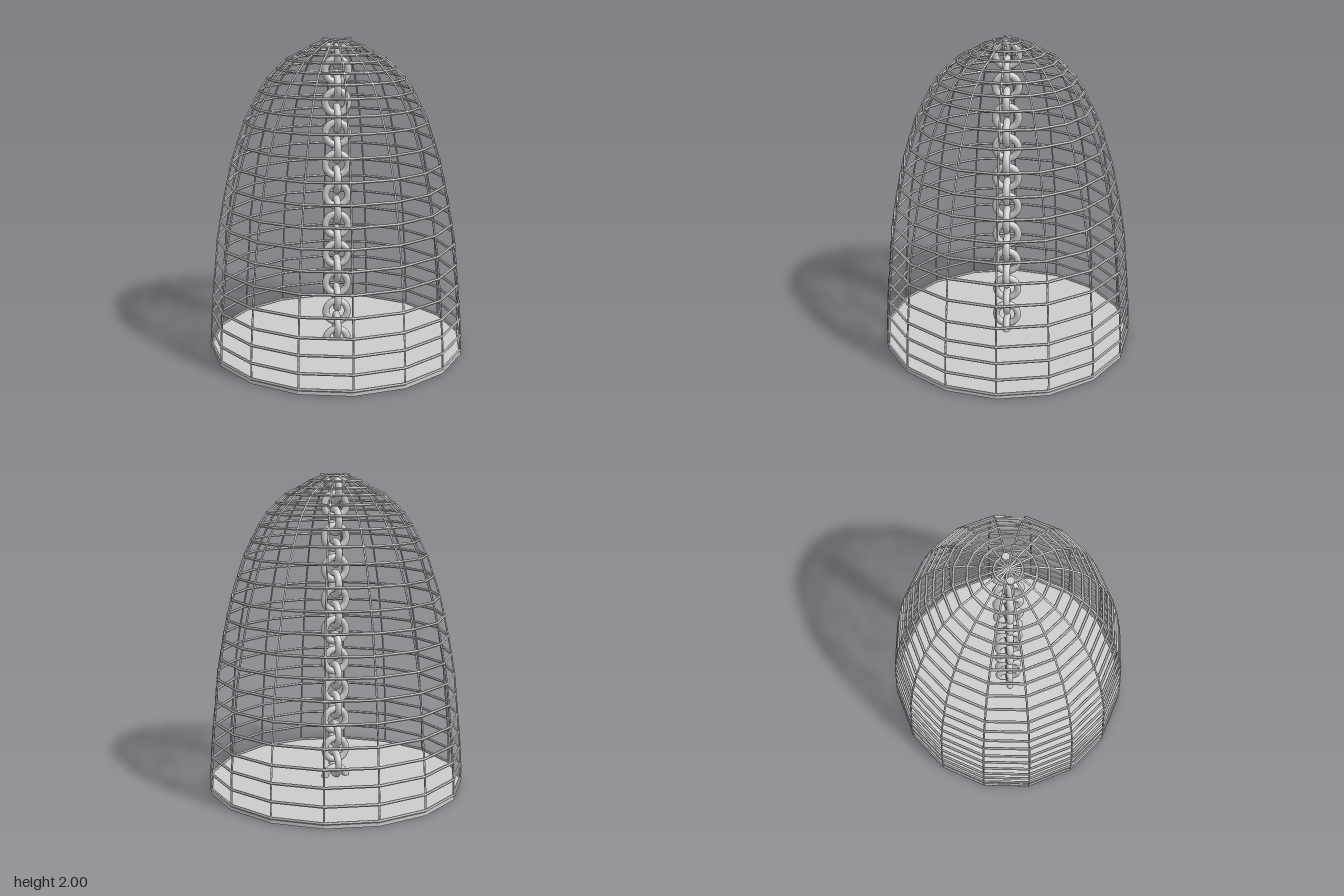
import * as THREE from 'three';

const SIDES = 16;
const DEPTH = 0.99; // the cage is very slightly narrower front to back

// ring radius and height, from the base to the crown
const PROFILE = [
  [0.824, 0.03], [0.822, 0.13], [0.815, 0.24], [0.806, 0.345], [0.794, 0.465],
  [0.78, 0.6], [0.766, 0.735], [0.744, 0.86], [0.722, 0.98], [0.694, 1.105],
  [0.664, 1.23], [0.622, 1.36], [0.577, 1.49], [0.53, 1.585], [0.48, 1.68],
  [0.43, 1.755], [0.37, 1.815], [0.31, 1.87], [0.23, 1.91], [0.16, 1.95], [0.08, 1.98],
];

export function createModel() {
  const model = new THREE.Group();
  const faceted = new THREE.MeshStandardMaterial({ color: 0xcccccc, flatShading: true });
  const smooth = new THREE.MeshStandardMaterial({ color: 0xcccccc, side: THREE.DoubleSide });
  const add = (parent, name, geometry, material) => {
    const mesh = new THREE.Mesh(geometry, material);
    mesh.name = name;
    parent.add(mesh);
    return mesh;
  };

  const cage = new THREE.Group();
  cage.name = 'cage';
  cage.scale.z = DEPTH;
  model.add(cage);

  // sixteen-sided floor plate
  const floor = new THREE.CylinderGeometry(0.828, 0.828, 0.025, SIDES);
  add(cage, 'floorPlate', floor, faceted).position.y = 0.0125;

  // horizontal hoops
  for (const [radius, y] of PROFILE) {
    const hoop = new THREE.TorusGeometry(radius, 0.009, 6, SIDES).rotateX(Math.PI / 2);
    add(cage, 'hoop', hoop, faceted).position.y = y;
  }

  // upright ribs meeting at the crown
  const ribPoints = [...PROFILE, [0, 1.99]].map(([r, y]) => new THREE.Vector3(r, y, 0));
  const ribPath = new THREE.CatmullRomCurve3(ribPoints);
  const ribGeometry = new THREE.TubeGeometry(ribPath, 56, 0.006, 6);
  for (let i = 0; i < SIDES; i++) {
    add(cage, 'rib', ribGeometry, smooth).rotation.y = (i / SIDES) * Math.PI * 2;
  }

  // hanging chain of alternating round links, with a half link at each end
  const chain = new THREE.Group();
  chain.name = 'chain';
  model.add(chain);
  const LINKS = 20, bottom = 0.014, top = 1.998;
  const link = new THREE.TorusGeometry(0.072, 0.023, 12, 32);
  const halfLink = new THREE.TorusGeometry(0.072, 0.023, 12, 16, Math.PI);
  const cutFace = new THREE.CircleGeometry(0.023, 12).rotateX(-Math.PI / 2);
  for (let i = 0; i <= LINKS; i++) {
    const end = i === 0 || i === LINKS;
    const mesh = add(chain, end ? 'halfLink' : 'link', end ? halfLink : link, smooth);
    mesh.position.y = bottom + ((top - bottom) * i) / LINKS;
    if (i % 2) mesh.rotation.y = Math.PI / 2;
    if (i === LINKS) {
      mesh.rotation.z = Math.PI;
      for (const x of [-0.072, 0.072]) add(chain, 'linkEnd', cutFace, smooth).position.set(x, top, 0);
    }
  }
  return model;
}
